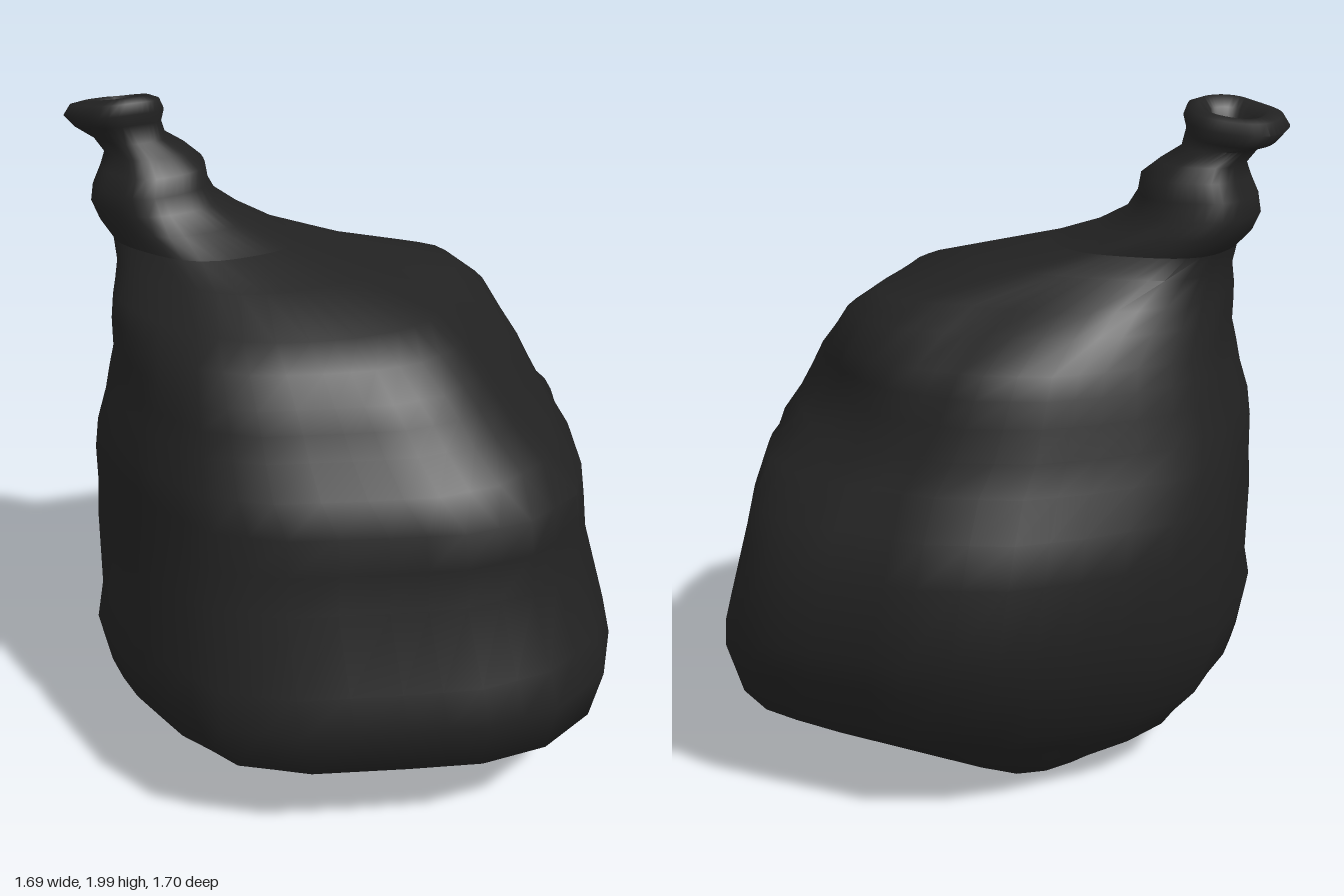
import * as THREE from 'three';
import { toCreasedNormals } from 'three/addons/utils/BufferGeometryUtils.js';

// Lumpy outline of the sack seen from above, as x, z pairs
const CORNERS = [
  [-0.1, -0.83], [0.1, -0.84], [0.27, -0.85], [0.39, -0.83], [0.52, -0.75], [0.6, -0.6], [0.66, -0.4], [0.73, -0.24],
  [0.82, 0.05], [0.84, 0.28], [0.74, 0.49], [0.57, 0.63], [0.36, 0.72], [0.08, 0.83], [-0.15, 0.85],
  [-0.36, 0.74], [-0.55, 0.56], [-0.7, 0.39], [-0.76, 0.15], [-0.78, -0.15], [-0.69, -0.37],
  [-0.5, -0.59], [-0.34, -0.73],
].map(([x, z]) => [(x - 0.03) / 0.81, z / 0.85]);
// Add the midpoint of every side
const OUTLINE = CORNERS.flatMap(([x, z], i) => {
  const [nx, nz] = CORNERS[(i + 1) % CORNERS.length];
  return [[x, z], [(x + nx) / 2, (z + nz) / 2]];
});

// Level sections: y, left x, right x, back z, front z, size and angle of a local swelling
const BODY = [
  [0.02, -0.29, -0.27, 0.0, 0.02],
  [0.01, -0.36, -0.2, -0.12, 0.25],
  [0.06, -0.46, 0.02, -0.42, 0.48],
  [0.14, -0.59, 0.4, -0.54, 0.57],
  [0.2, -0.63, 0.66, -0.63, 0.66],
  [0.29, -0.7, 0.8, -0.76, 0.78, 0.07, 2.55],
  [0.46, -0.755, 0.84, -0.82, 0.85, 0.03, 2.55],
  [0.56, -0.77, 0.81, -0.85, 0.82],
  [0.79, -0.78, 0.74, -0.83, 0.77],
  [0.9, -0.775, 0.73, -0.78, 0.74],
  [1.01, -0.77, 0.72, -0.72, 0.73],
  [1.1, -0.755, 0.62, -0.67, 0.7, 0.06, -0.5],
  [1.19, -0.73, 0.53, -0.64, 0.65, 0.12, -0.55],
  [1.26, -0.715, 0.48, -0.61, 0.625, 0.16, -0.6],
  [1.32, -0.7, 0.43, -0.58, 0.6, 0.18, -0.63],
  [1.4, -0.7, 0.36, -0.47, 0.54, 0.22, -0.72],
  [1.46, -0.7, 0.28, -0.38, 0.46, 0.25, -0.83],
  [1.53, -0.7, 0.04, -0.25, 0.31, 0.18, -0.8],
  [1.59, -0.715, -0.18, -0.2, 0.24],
];
const NECK = [
  [1.59, -0.715, -0.18, -0.2, 0.24],
  [1.64, -0.76, -0.32, -0.18, 0.21],
  [1.69, -0.78, -0.41, -0.16, 0.2],
  [1.74, -0.77, -0.44, -0.15, 0.195],
  [1.79, -0.75, -0.45, -0.14, 0.17],
  [1.83, -0.74, -0.5, -0.11, 0.13],
  [1.87, -0.77, -0.56, -0.075, 0.12],
  [1.905, -0.82, -0.57, -0.08, 0.14],
  [1.94, -0.85, -0.56, -0.095, 0.16],
  [1.97, -0.83, -0.57, -0.075, 0.145],
  [1.98, -0.79, -0.6, -0.05, 0.115],
  [1.95, -0.76, -0.63, -0.03, 0.085],
  [1.88, -0.74, -0.645, -0.01, 0.07],
  [1.81, -0.72, -0.66, 0.0, 0.06],
  [1.8, -0.7, -0.69, 0.025, 0.035],
];
const FOLD = new THREE.Vector3(0.28, 1.17, -0.52);

// Skin rings of points running upwards
function skin(rows) {
  const n = OUTLINE.length, pos = [], idx = [];
  for (const [y, x0, x1, z0, z1, swell = 0, at = 0] of rows) {
    const round = THREE.MathUtils.smoothstep(y, 1.3, 1.6);
    for (const [ox, oz] of OUTLINE) {
      const len = Math.hypot(ox, oz), a = Math.atan2(oz, ox);
      const k = THREE.MathUtils.lerp(1, 1 / len, round);
      const pleat = 1 + 0.03 * Math.sin(5 * a + 1) * round;
      const lump = 1 + swell * Math.max(0, Math.cos(a - at)) ** 10;
      const s = k * pleat * lump;
      const p = new THREE.Vector3(
        (x0 + x1) / 2 + ox * s * (x1 - x0) / 2,
        y + (y > 1.87 ? 0.015 * (ox + oz) * k : 0),
        (z0 + z1) / 2 + oz * s * (z1 - z0) / 2);
      // Sunken fold in the back, below the shoulder
      const dent = 0.13 * Math.max(0, 1 - p.distanceTo(FOLD) / 0.3);
      p.x -= dent * 0.45;
      p.z += dent * 0.9;
      pos.push(p.x, p.y, p.z);
    }
  }
  for (let r = 0; r < rows.length - 1; r++) {
    for (let i = 0; i < n; i++) {
      const a = r * n + i, b = r * n + (i + 1) % n;
      idx.push(a, a + n, b, b, a + n, b + n);
    }
  }
  const g = new THREE.BufferGeometry();
  g.setAttribute('position', new THREE.Float32BufferAttribute(pos, 3));
  g.setIndex(idx);
  return g;
}

export function createModel() {
  const group = new THREE.Group();
  group.name = 'tiedSack';
  const black = new THREE.MeshStandardMaterial({ color: 0x222222, side: THREE.DoubleSide });
  black.name = 'black plastic';

  const body = new THREE.Mesh(toCreasedNormals(skin(BODY), 0.9), black);
  body.name = 'sackBody';
  const neck = new THREE.Mesh(toCreasedNormals(skin(NECK), 1.3), black);
  neck.name = 'gatheredNeck';
  group.add(body, neck);
  return group;
}
